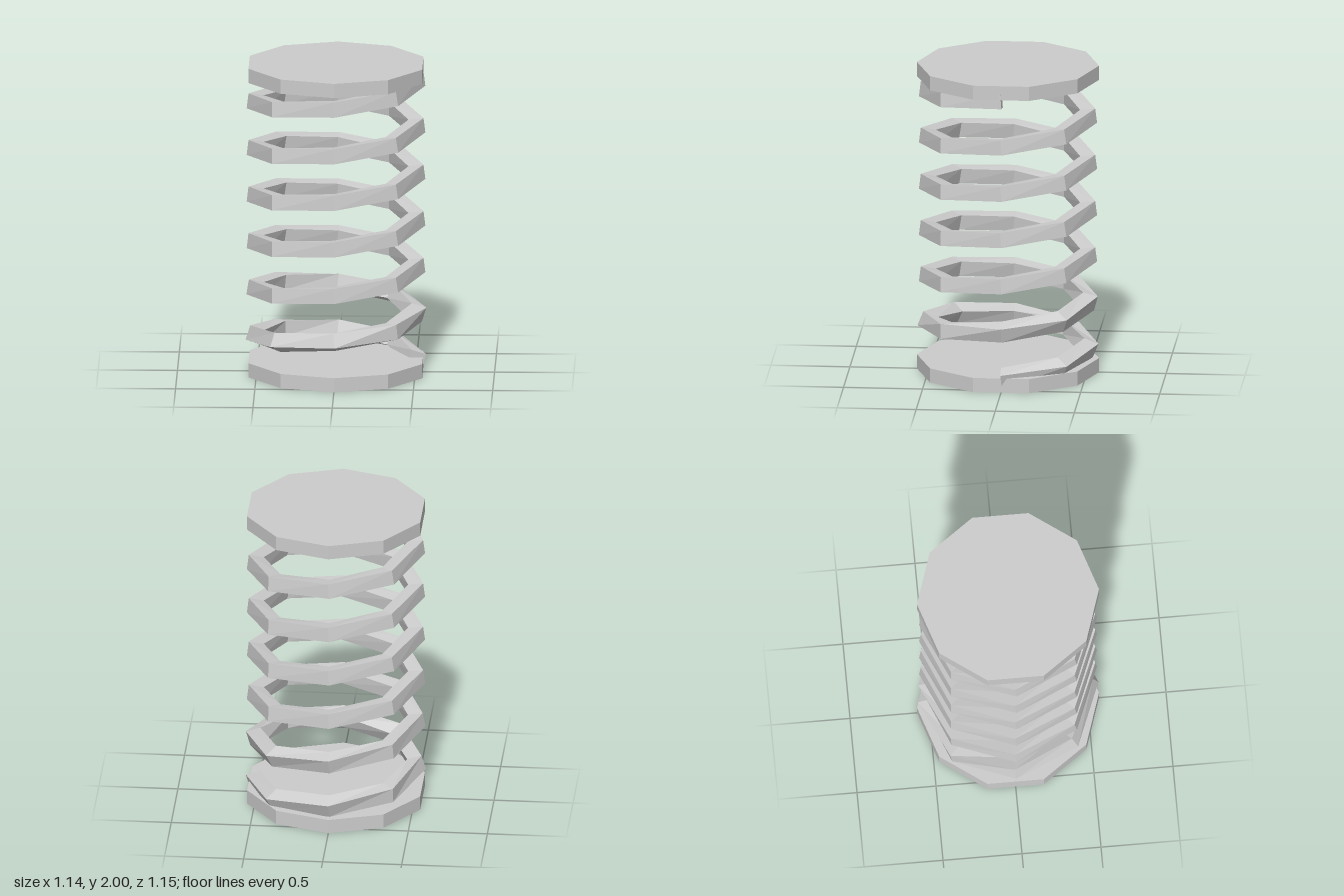
import * as THREE from 'three';

const steel = new THREE.MeshStandardMaterial({ color: 0xcccccc, flatShading: true });
steel.name = 'plain steel grey';

// Square wire swept round an eight-sided helix
function coilGeometry() {
  const turns = 6, sides = 8, radius = 0.51, pitch = 0.302, startY = 0.083, half = 0.048;
  const corners = [[1, -1], [1, 1], [-1, 1], [-1, -1]];
  const rings = [];
  for (let i = 0; i <= turns * sides; i++) {
    const a = (i / sides) * Math.PI * 2;
    const out = new THREE.Vector3(Math.cos(a), 0, -Math.sin(a));
    const along = new THREE.Vector3(-Math.sin(a) * radius, pitch / (2 * Math.PI), -Math.cos(a) * radius).normalize();
    const up = new THREE.Vector3().crossVectors(along, out).negate();
    if (up.y < 0) up.negate();
    // the first turn leans one way, then the wire settles to a slight roll
    const fade = THREE.MathUtils.clamp((13 - i) / 4, 0, 1);
    const lean = -0.3 * Math.cos(a) - 0.38 * Math.sin(a);
    const roll = THREE.MathUtils.lerp(0.12, lean, fade);
    const u = out.clone().applyAxisAngle(along, 0).multiplyScalar(Math.cos(roll)).addScaledVector(up, Math.sin(roll));
    const v = up.clone().multiplyScalar(Math.cos(roll)).addScaledVector(out, -Math.sin(roll));
    const centre = out.clone().multiplyScalar(radius).setY(startY + (pitch * i) / sides);
    rings.push(corners.map(([p, q]) => centre.clone().addScaledVector(u, p * half).addScaledVector(v, q * half)));
  }
  const pos = [];
  const quad = (a, b, c, d) => [a, b, c, a, c, d].forEach((p) => pos.push(p.x, p.y, p.z));
  for (let i = 0; i < rings.length - 1; i++) {
    const r = rings[i], s = rings[i + 1];
    for (let k = 0; k < 4; k++) {
      const n = (k + 1) % 4;
      quad(r[k], s[k], s[n], r[n]);
    }
  }
  const first = rings[0], last = rings[rings.length - 1];
  quad(first[0], first[1], first[2], first[3]);
  quad(last[3], last[2], last[1], last[0]);
  const g = new THREE.BufferGeometry();
  g.setAttribute('position', new THREE.Float32BufferAttribute(pos, 3));
  g.computeVertexNormals();
  return g;
}

export function createModel() {
  const group = new THREE.Group();
  group.name = 'spring';

  // End plates
  const plate = new THREE.CylinderGeometry(0.576, 0.576, 0.092, 10);
  for (const [name, y] of [['bottomPlate', 0.046], ['topPlate', 1.954]]) {
    const mesh = new THREE.Mesh(plate, steel);
    mesh.name = name;
    mesh.position.y = y;
    group.add(mesh);
  }

  // Coil
  const coil = new THREE.Mesh(coilGeometry(), steel);
  coil.name = 'coil';
  group.add(coil);
  return group;
}
